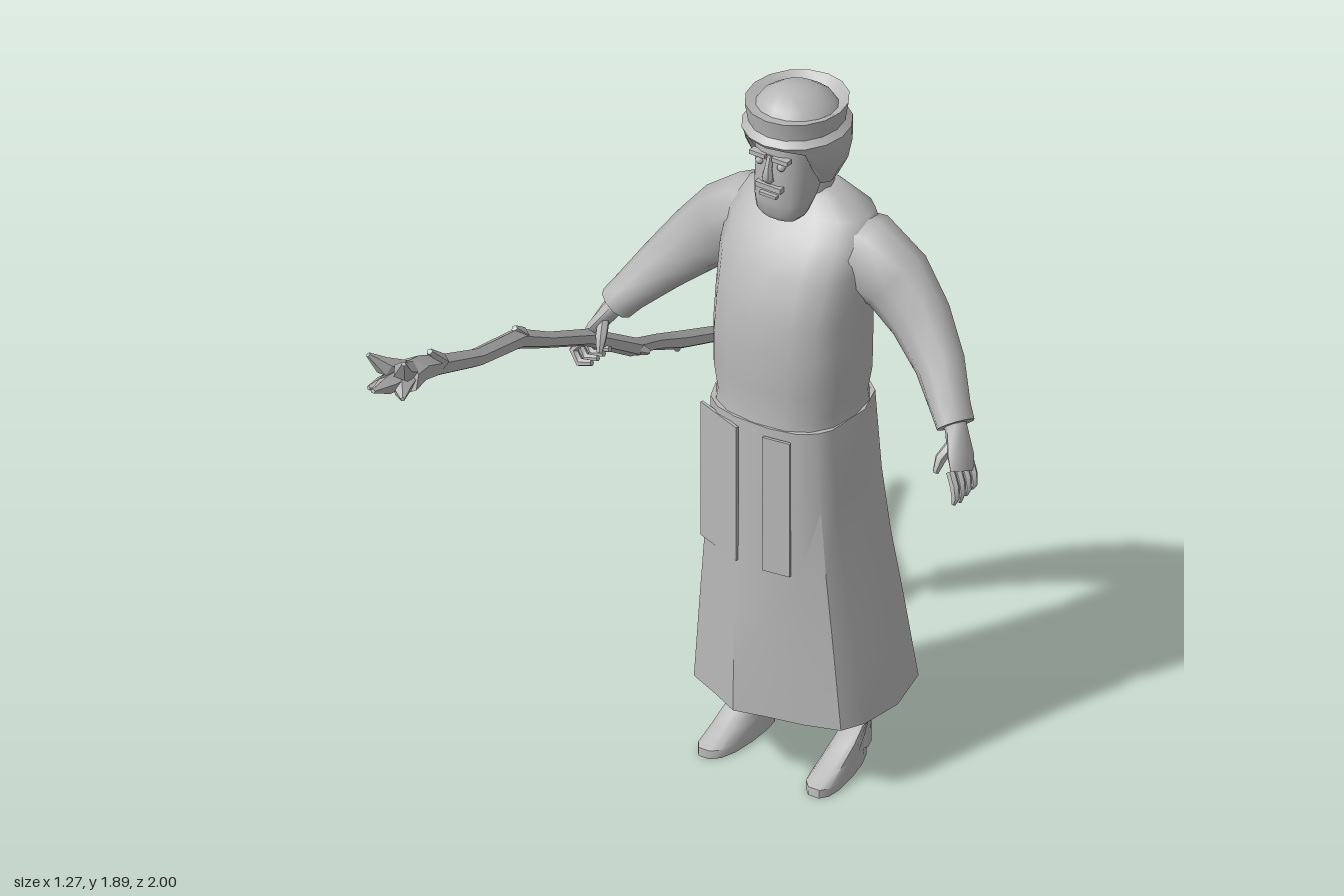
import * as THREE from 'three';
import { mergeVertices, toCreasedNormals } from 'three/addons/utils/BufferGeometryUtils.js';

const CX = 0.06; // body axis
const V = (x, y, z) => new THREE.Vector3(x, y, z);
const grey = new THREE.MeshStandardMaterial({ color: 0xb8b8b8, side: THREE.DoubleSide });
grey.name = 'plainGrey';

// Skin a stack of closed rings and cap both ends
function loft(rings, crease = 0.7) {
  const n = rings[0].length, pos = [], idx = [];
  const add = (p) => pos.push(p.x, p.y, p.z);
  rings.forEach((r) => r.forEach(add));
  for (let i = 0; i < rings.length - 1; i++) {
    for (let j = 0; j < n; j++) {
      const a = i * n + j, b = i * n + (j + 1) % n;
      idx.push(a, a + n, b, b, a + n, b + n);
    }
  }
  [0, rings.length - 1].forEach((k, top) => {
    const c = pos.length / 3;
    add(rings[k].reduce((s, p) => s.add(p), V(0, 0, 0)).divideScalar(n));
    for (let j = 0; j < n; j++) {
      const a = k * n + j, b = k * n + (j + 1) % n;
      top ? idx.push(c, b, a) : idx.push(c, a, b);
    }
  });
  const g = new THREE.BufferGeometry();
  g.setAttribute('position', new THREE.Float32BufferAttribute(pos, 3));
  g.setIndex(idx);
  return toCreasedNormals(g, crease);
}

// Horizontal rounded-square ring
const spow = (v, e) => Math.sign(v) * Math.pow(Math.abs(v), e);
const oval = ([y, hx, zc, hz], n = 16, e = 0.8) => Array.from({ length: n }, (_, j) => {
  const t = (j / n) * Math.PI * 2;
  return V(CX + hx * spow(Math.cos(t), e), y, zc + hz * spow(Math.sin(t), e));
});

// Tapered limb through [x, y, z, radiusAcross, radiusAlongRef]
function limb(sections, ref = V(0, 0, 1), n = 8, crease = 0.9) {
  const pts = sections.map((s) => V(s[0], s[1], s[2]));
  return loft(pts.map((p, i) => {
    const t = pts[Math.min(i + 1, pts.length - 1)].clone().sub(pts[Math.max(i - 1, 0)]).normalize();
    const v = ref.clone().addScaledVector(t, -ref.dot(t)).normalize();
    const u = t.clone().cross(v), [, , , ru, rv = ru] = sections[i];
    return Array.from({ length: n }, (_, j) => {
      const a = (j / n) * Math.PI * 2;
      return p.clone().addScaledVector(u, ru * Math.cos(a)).addScaledVector(v, rv * Math.sin(a));
    });
  }), crease);
}

export function createModel() {
  const model = new THREE.Group();
  model.name = 'robedManWithStaff';
  const part = (name, geometry, x = 0, y = 0, z = 0) => {
    const m = new THREE.Mesh(geometry, grey);
    m.name = name;
    m.position.set(x, y, z);
    model.add(m);
    return m;
  };

  // Skirt of the robe: pleated hem blending into a rounded waist
  const hem = [[.335, -.36], [.32, -.24], [.29, -.18], [.2, -.15], [.1, -.13], [.02, -.11], [-.06, -.15],
    [-.15, -.19], [-.195, -.28], [-.2, -.38], [-.18, -.46], [-.13, -.545], [-.04, -.53], [.03, -.52],
    [.12, -.57], [.22, -.53], [.3, -.5]];
  const levels = [[.2, 0], [.35, .22], [.45, .37], [.62, .64], [.8, .85], [1.02, 1]];
  part('robeSkirt', loft(levels.map(([y, k]) => hem.map(([x, z]) => {
    const t = Math.atan2((z + .335) / .23, (x - .067) / .268);
    const wx = CX + .188 * spow(Math.cos(t), .7), wz = -.31 + .172 * spow(Math.sin(t), .7);
    return V(x + (wx - x) * k, y, z + (wz - z) * k);
  })), 0.55));

  // Hanging front panels
  [[-.12, -.18, .02, -.128], [.095, -.128, .17, -.138]].forEach(([x0, z0, x1, z1]) => {
    const w = Math.hypot(x1 - x0, z1 - z0);
    part('frontPanel', new THREE.BoxGeometry(w, .38, .008), (x0 + x1) / 2, .81, (z0 + z1) / 2)
      .rotation.y = -Math.atan2(z1 - z0, x1 - x0);
  });

  // Upper robe and neck
  part('robeTorso', loft([[1, .186, -.31, .172], [1.05, .18, -.31, .163], [1.12, .193, -.31, .168],
    [1.22, .195, -.312, .165], [1.3, .193, -.317, .163], [1.42, .2, -.34, .15], [1.5, .2, -.367, .12],
    [1.55, .175, -.383, .092], [1.59, .105, -.385, .06], [1.605, .07, -.38, .05]].map((s) => oval(s)), 1));
  part('neck', loft([[1.55, .072, -.375, .06], [1.7, .068, -.365, .065]].map((s) => oval(s, 12, 1))));

  // Head with beard, nose, brows and moustache
  part('face', loft([[1.56, .05, -.262, .035], [1.575, .066, -.264, .046], [1.61, .074, -.277, .066],
    [1.66, .078, -.295, .088], [1.7, .08, -.31, .1], [1.79, .085, -.32, .11]].map((s) => oval(s, 14, .8)), .8));
  part('nose', limb([[CX, 1.75, -.212, .008], [CX, 1.715, -.203, .011], [CX, 1.69, -.2, .017, .013],
    [CX, 1.68, -.21, .012]], V(0, 0, 1), 6));
  part('moustache', new THREE.BoxGeometry(.075, .014, .02), CX, 1.662, -.21);
  part('lip', new THREE.BoxGeometry(.05, .008, .016), CX, 1.64, -.207);
  for (const s of [-1, 1]) {
    part('brow', new THREE.BoxGeometry(.045, .012, .02), CX + s * .033, 1.745, -.212);
    part('eye', new THREE.SphereGeometry(.011, 8, 6), CX + s * .032, 1.725, -.213);
    part('ear', new THREE.SphereGeometry(.02, 8, 6), CX + s * .085, 1.69, -.33);
  }

  // Turban: a turned shape whose lower edge is lifted over the face
  const profile = [[.06, 1.63], [.1, 1.65], [.125, 1.7], [.135, 1.75], [.134, 1.79], [.118, 1.805], [.126, 1.855],
    [.1, 1.842], [.088, 1.86], [.05, 1.885], [0, 1.89]].map((p) => new THREE.Vector2(...p));
  let turban = new THREE.LatheGeometry(profile, 16);
  const tp = turban.attributes.position;
  for (let i = 0; i < tp.count; i++) {
    const x = tp.getX(i), y = tp.getY(i), z = tp.getZ(i), r = Math.hypot(x, z) || 1;
    const lift = THREE.MathUtils.smoothstep(z / r, .1, .85);
    if (y < 1.78) {
      const grow = 1 + lift * (.128 / r - 1);
      tp.setXYZ(i, x * grow, y + (1.78 - y) * lift, z * grow);
    } else if (r < .11) tp.setY(i, y + z * .1);
  }
  turban.deleteAttribute('normal');
  turban.deleteAttribute('uv');
  turban = toCreasedNormals(mergeVertices(turban, 1e-4), 0.7);
  part('turban', turban, CX, 0, -.328).scale.z = 1.07;

  for (const s of [-1, 1]) {
    const at = (list) => list.map(([x, ...rest]) => [CX + s * x, ...rest]);
    const side = s > 0 ? 'left' : 'right';
    // Sleeve, cuff and palm
    part(side + 'Sleeve', limb(at([[.07, 1.47, -.37, .075, .085], [.16, 1.445, -.38, .11, .1],
      [.25, 1.385, -.395, .1, .082], [.33, 1.31, -.38, .084, .07], [.41, 1.225, -.345, .066, .06],
      [.475, 1.15, -.295, .05, .052], [.5, 1.118, -.28, .047, .05]]), V(0, 0, 1), 10, 1));
    part(side + 'Palm', limb(at([[.47, 1.15, -.3, .03], [.505, 1.11, -.275, .026, .03],
      [.535, 1.06, -.25, .02, .046], [.55, 1.025, -.235, .016, .044]])));
    // Fingers and thumb; the right hand curls around the staff
    for (let f = 0; f < 4; f++) {
      const z = -.275 + f * .026, r = .012;
      part(side + 'Finger', limb(at(s > 0
        ? [[.542, 1.04, z, r], [.562, 1.01, z + .012, r], [.57, .985, z + .02, r * .9], [.566, .962 + .006 * Math.abs(f - 2), z + .024, .006]]
        : [[.545, 1.04, z, r], [.562, 1.01, z + .01, r], [.54, .985, z + .015, r], [.505, .995, z + .015, .008]]),
      V(0, 0, 1), 6));
    }
    part(side + 'Thumb', limb(at([[.515, 1.09, -.25, .015], [.5, 1.055, -.215, .015],
      [.495, 1.02, -.2, .008]]), V(0, 0, 1), 6));

    // Leg and foot
    const fx = s > 0 ? .205 : -.08;
    part(side + 'Leg', limb([[fx, .04, -.37, .035, .042], [fx, .1, -.372, .033, .042],
      [fx, .25, -.372, .036, .045]]));
    const sole = (y, w, z0, z1) => Array.from({ length: 14 }, (_, j) => {
      const t = (j / 14) * Math.PI * 2, q = Math.sin(t), ball = 1 + .25 * q;
      return V(fx + s * .015 * (q + .3) + w * ball * spow(Math.cos(t), .8), y, (z0 + z1) / 2 + (z1 - z0) / 2 * spow(q, .85));
    });
    part(side + 'Foot', loft([sole(0, .042, -.415, -.155), sole(.022, .043, -.417, -.157),
      sole(.05, .038, -.416, -.215), sole(.085, .034, -.415, -.285), sole(.12, .032, -.414, -.33)], .8));
  }

  // Crooked staff with knots and a forked head
  const X = V(1, 0, 0);
  part('staffShaft', limb([[-.612, .61, -.995, .021], [-.578, .725, -.75, .024], [-.55, .805, -.6, .021],
    [-.485, .905, -.42, .024], [-.472, 1.05, -.2, .022], [-.455, 1.15, 0, .021], [-.44, 1.235, .15, .026],
    [-.39, 1.325, .4, .024], [-.345, 1.445, .65, .028], [-.32, 1.5, .76, .036], [-.305, 1.52, .84, .042, .046]],
  X, 6, .5));
  [[-.29, 1.565, .99], [-.345, 1.62, .93], [-.24, 1.63, .93], [-.33, 1.54, .95], [-.25, 1.52, .92]].forEach(([x, y, z]) =>
    part('staffProng', limb([[-.313, 1.51, .79, .028], [(x - .305) / 2, (y + 1.525) / 2, (z + .85) / 2, .024],
      [x, y, z, .006]], X, 5, .4)));
  [[-.335, 1.45, .63, 0, .055, .05], [-.44, 1.235, .13, 0, .035, .03], [-.578, .73, -.74, -.01, -.04, -.02],
    [-.485, .905, -.42, .025, -.02, -.03]].forEach(([x, y, z, dx, dy, dz]) =>
    part('staffKnot', limb([[x, y, z, .022], [x + dx, y + dy, z + dz, .008]], X, 5, .4)));

  return model;
}
